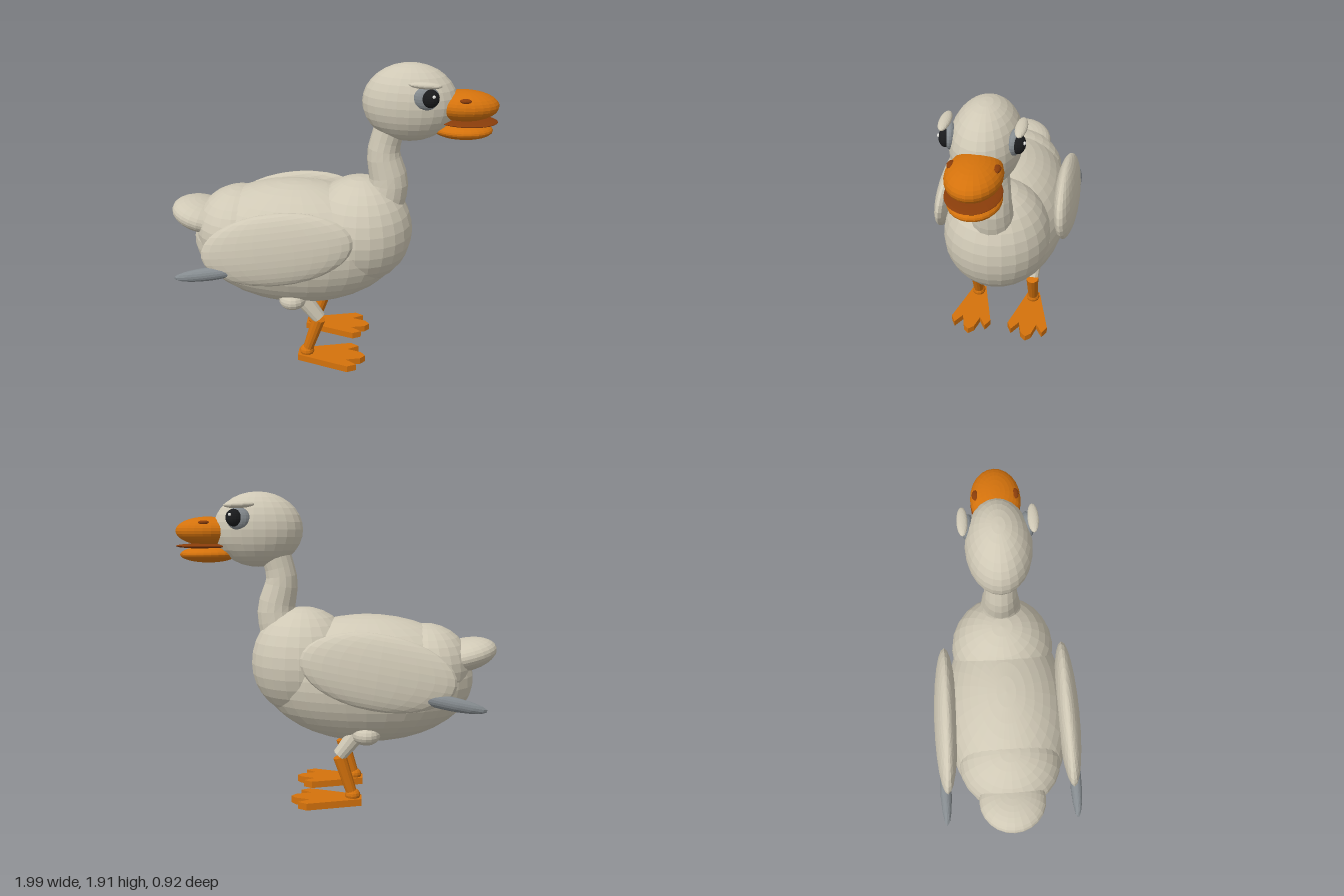
import * as THREE from 'three';

function mat(name, color) {
  const m = new THREE.MeshStandardMaterial({ color, flatShading: true });
  m.name = name;
  return m;
}

export function createModel() {
  const feather = mat('cream feather', 0xcfc8b5);
  const grey = mat('grey', 0x858b8f);
  const orange = mat('orange', 0xd4720c);
  const mouthMat = mat('dark orange', 0x8a3d0a);
  const black = mat('black', 0x1a1b1d);
  const white = mat('white', 0xf4f4f0);

  const goose = new THREE.Group();
  goose.name = 'goose';

  const add = (name, geo, material, parent = goose) => {
    const m = new THREE.Mesh(geo, material);
    m.name = name;
    parent.add(m);
    return m;
  };
  // Ellipsoid with centre p, radii r and rotation rot
  const blob = (name, material, p, r, rot = [0, 0, 0], segs = 24, parent = goose) => {
    const geo = new THREE.SphereGeometry(1, segs, Math.round(segs * 0.67));
    geo.scale(...r);
    const m = add(name, geo, material, parent);
    m.position.set(...p);
    m.rotation.set(...rot);
    return m;
  };
  // Tapered cylinder from a to b
  const limb = (name, material, a, b, ra, rb, parent) => {
    const A = new THREE.Vector3(...a), B = new THREE.Vector3(...b);
    const d = B.clone().sub(A);
    const m = add(name, new THREE.CylinderGeometry(rb, ra, d.length(), 12), material, parent);
    m.position.copy(A).add(B).multiplyScalar(0.5);
    m.quaternion.setFromUnitVectors(new THREE.Vector3(0, 1, 0), d.normalize());
    return m;
  };

  // Torso
  blob('body', feather, [-0.2, 0.76, 0], [0.66, 0.4, 0.39], [0, 0, 0], 32);
  blob('rump', feather, [-0.56, 0.84, 0], [0.28, 0.265, 0.31]);
  blob('chest', feather, [0.2, 0.86, 0], [0.328, 0.345, 0.325]);
  blob('tail', feather, [-0.8, 0.91, 0], [0.205, 0.1, 0.2], [0, 0, -0.25]);

  // Neck: a curved tube that narrows toward the head
  const path = new THREE.CatmullRomCurve3([
    [0.33, 1.02], [0.37, 1.18], [0.335, 1.37], [0.375, 1.55],
  ].map(([x, y]) => new THREE.Vector3(x, y, 0)));
  const rows = 10, sides = 16;
  const neck = new THREE.TubeGeometry(path, rows, 1, sides, false);
  const np = neck.attributes.position, v = new THREE.Vector3();
  for (let i = 0; i < np.count; i++) {
    const t = Math.floor(i / (sides + 1)) / rows;
    const c = path.getPointAt(t);
    v.fromBufferAttribute(np, i).sub(c).multiplyScalar(0.138 - 0.045 * Math.min(1, t * 1.3)).add(c);
    np.setXYZ(i, v.x, v.y, v.z);
  }
  add('neck', neck, feather);

  // Head and bill
  blob('head', feather, [0.477, 1.68, 0], [0.277, 0.229, 0.19]);
  blob('upperBill', orange, [0.79, 1.67, 0], [0.2, 0.088, 0.145]);
  blob('mouth', mouthMat, [0.81, 1.579, 0], [0.18, 0.016, 0.145]);
  blob('lowerBill', orange, [0.79, 1.527, 0], [0.175, 0.05, 0.14]);

  // Webbed foot outline, x forward and second value sideways
  const outline = [
    [-0.17, -0.04], [0.16, -0.135], [0.215, -0.105], [0.145, -0.06], [0.235, -0.035],
    [0.265, 0], [0.235, 0.035], [0.145, 0.06], [0.215, 0.105], [0.16, 0.135], [-0.17, 0.04],
  ];
  const footShape = new THREE.Shape(outline.map(([x, z]) => new THREE.Vector2(x, z)));

  for (const s of [1, -1]) {
    const side = s > 0 ? 'right' : 'left';

    // Face details
    blob(side + 'Nostril', mouthMat, [0.79, 1.72, s * 0.112], [0.035, 0.014, 0.022], [0, 0, 0], 12);
    blob(side + 'EyeRim', grey, [0.57, 1.744, s * 0.165], [0.073, 0.069, 0.036], [0, s * 0.12, 0], 18);
    blob(side + 'Pupil', black, [0.592, 1.748, s * 0.184], [0.05, 0.052, 0.038], [0, 0, 0], 16);
    blob(side + 'EyeGlint', white, [0.61, 1.765, s * 0.217], [0.01, 0.01, 0.008], [0, 0, 0], 8);
    blob(side + 'Brow', feather, [0.56, 1.823, s * 0.193], [0.093, 0.02, 0.031], [0, 0, -0.04], 16);

    // Wing with a grey tip
    const wing = new THREE.Group();
    wing.name = side + 'Wing';
    goose.add(wing);
    blob('wingCover', feather, [-0.265, 0.863, s * 0.383], [0.46, 0.224, 0.073], [-s * 0.1, 0, 0.17], 24, wing);
    blob('wingTip', grey, [-0.667, 0.695, s * 0.41], [0.23, 0.042, 0.036], [0, 0, 0.2], 14, wing);

    // Leg and foot
    const leg = new THREE.Group();
    leg.name = side + 'Leg';
    goose.add(leg);
    const z = s * 0.195;
    blob('thigh', feather, [-0.197, 0.452, s * 0.22], [0.088, 0.067, 0.097], [0, 0, 0], 16, leg);
    limb('upperLeg', feather, [-0.15, 0.46, z], [-0.035, 0.31, z], 0.058, 0.044, leg);
    limb('shank', orange, [-0.035, 0.3, z], [-0.112, 0.06, z], 0.042, 0.033, leg);
    blob('ankle', orange, [-0.115, 0.058, z], [0.048, 0.04, 0.045], [0, 0, 0], 12, leg);
    const foot = add('foot', new THREE.ExtrudeGeometry(footShape, { depth: 0.043, bevelEnabled: false }), orange, leg);
    foot.rotation.x = -Math.PI / 2;
    foot.position.z = z;
  }
  return goose;
}
